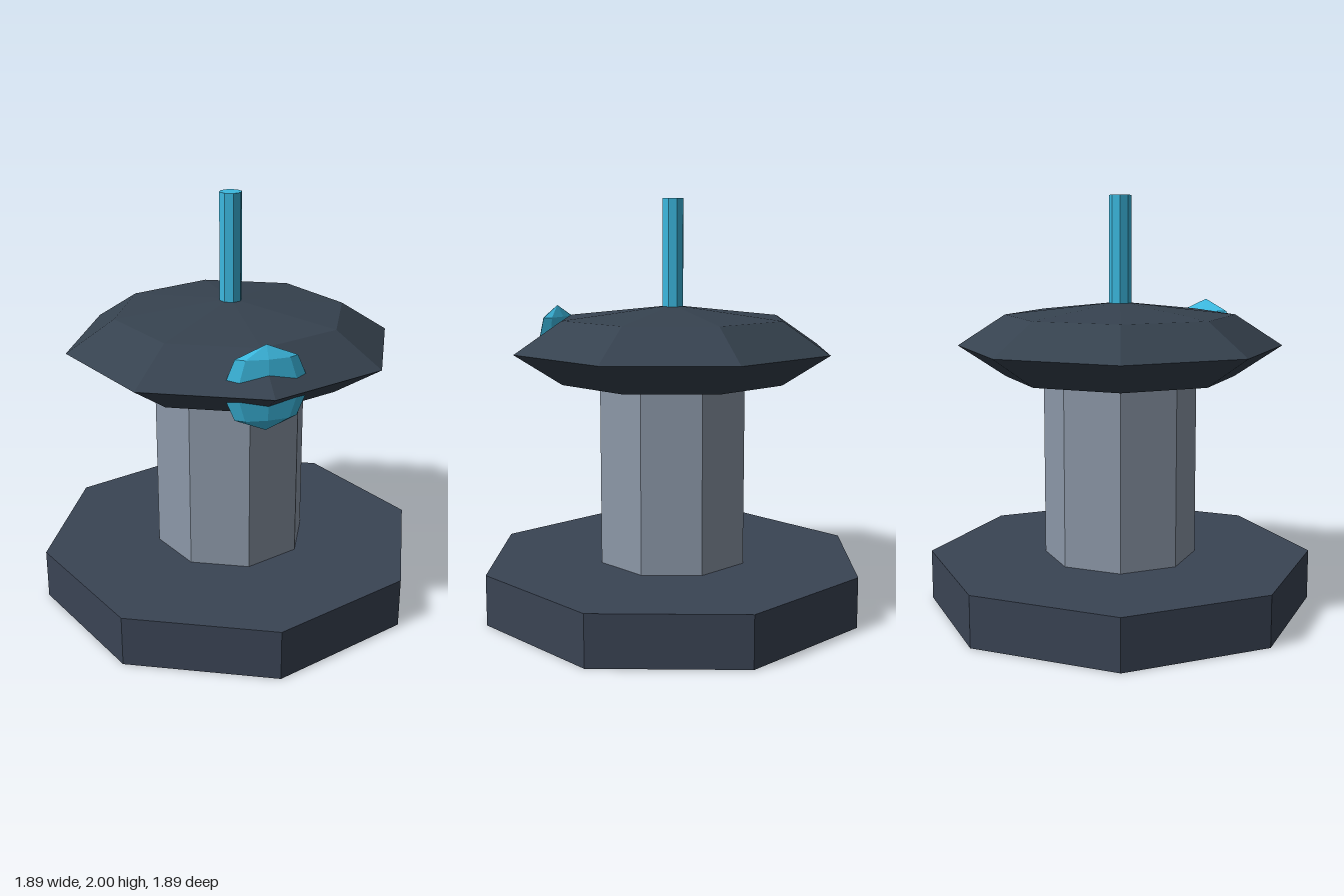
import * as THREE from 'three';

const SIDES = 8;

function createMaterial(color) {
  return new THREE.MeshStandardMaterial({ color, flatShading: true });
}

export function createModel() {
  const model = new THREE.Group();
  model.name = 'beaconTurret';
  const slate = createMaterial(0x3a4454);
  const dark = createMaterial(0x36424f);
  const steel = createMaterial(0x8c98a8);
  const cyan = createMaterial(0x3cb9e0);

  function add(name, geometry, material, x, y, z) {
    const mesh = new THREE.Mesh(geometry, material);
    mesh.name = name;
    mesh.position.set(x, y, z);
    model.add(mesh);
    return mesh;
  }

  // Upright octagonal prism between two heights
  function prism(name, radius, bottom, top, material) {
    const geometry = new THREE.CylinderGeometry(radius, radius, top - bottom, SIDES);
    return add(name, geometry, material, 0, (bottom + top) / 2, 0);
  }

  // Faceted ellipsoid
  function ellipsoid(name, rx, ry, rz, material, y, z) {
    const geometry = new THREE.SphereGeometry(1, SIDES, 4).scale(rx, ry, rz);
    return add(name, geometry, material, 0, y, z);
  }

  // Wide foot and column
  prism('base', 0.945, 0, 0.245, slate);
  prism('column', 0.373, 0.245, 1.25, steel);

  // Flattened head with the upright lens sunk into its front rim
  ellipsoid('head', 0.79, 0.213, 0.79, dark, 1.28, 0);
  ellipsoid('lens', 0.197, 0.197, 0.049, cyan, 1.28, 0.64);

  // Thin mast on top
  prism('mast', 0.054, 1.4, 2, cyan);

  return model;
}
